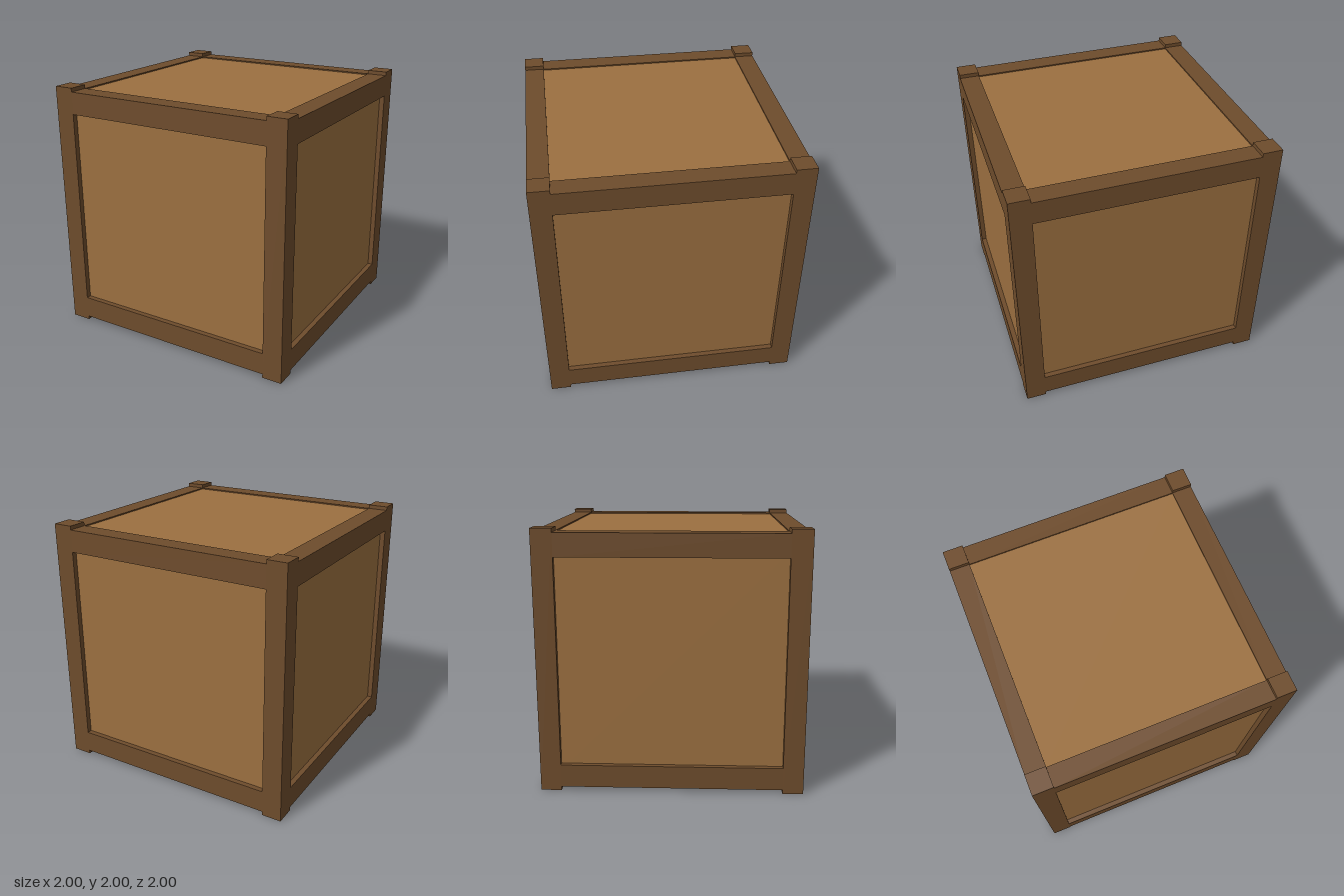
import * as THREE from 'three';

export function createModel() {
  const crate = new THREE.Group();
  crate.name = 'crate';
  const panelWood = new THREE.MeshStandardMaterial({ color: 0x9c7040 });
  panelWood.name = 'light panel wood';
  const frameWood = new THREE.MeshStandardMaterial({ color: 0x6e4c2c });
  frameWood.name = 'dark frame wood';

  function box(name, material, size, position) {
    const mesh = new THREE.Mesh(new THREE.BoxGeometry(...size), material);
    mesh.name = name;
    mesh.position.set(...position);
    crate.add(mesh);
  }

  const post = 0.157;            // square section of posts, also rail depth
  const railHeight = 0.176;
  const span = 2 - 2 * post;     // rail length between posts
  const edge = 1 - post / 2;     // centre line of posts and rails

  // Recessed panels: the faces of one inner box
  box('panels', panelWood, [1.92, 1.92, 1.92], [0, 1, 0]);

  for (const a of [-1, 1]) {
    for (const b of [-1, 1]) {
      // Corner posts stand slightly proud of the rails at top and bottom
      box('cornerPost', frameWood, [post, 2, post], [a * edge, 1, b * edge]);

      // Horizontal rails along x and z, at the top and bottom
      const y = 1 + a * (0.97 - railHeight / 2);
      box('frontBackRail', frameWood, [span, railHeight, post], [0, y, b * edge]);
      box('sideRail', frameWood, [post, railHeight, span], [b * edge, y, 0]);
    }
  }
  return crate;
}
